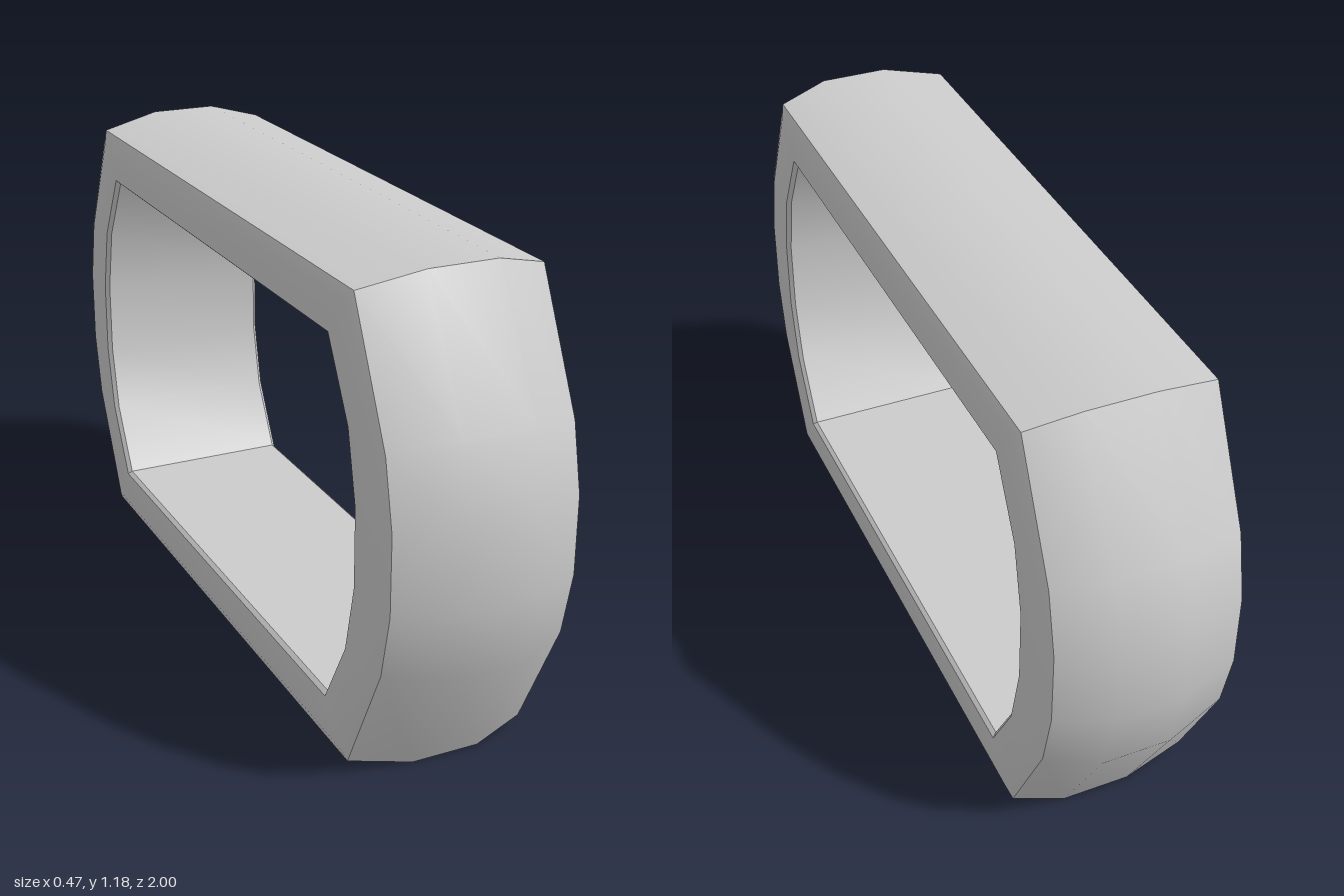
import * as THREE from 'three';
import { toCreasedNormals } from 'three/addons/utils/BufferGeometryUtils.js';

const MID_Y = 0.595;

// Upper front quarter of each loop as [z, y]: corner, then the two arc points
const LOOPS = [
  [[0.785, 1.187], [0.96, 0.87], [1.0, 0.69]],    // outer crown
  [[0.76, 1.155], [0.91, 0.85], [0.945, 0.69]],   // shoulder
  [[0.655, 1.028], [0.75, 0.86], [0.788, 0.69]],  // opening
];

// Band cross-section as [x, k]: k = 0 crown, 1 shoulder, 2 opening
const SECTION = [
  [-0.07, 0], [0.1, 0], [0.225, 1], [0.235, 1.2], [0.235, 1.93], [0.225, 2],
  [-0.225, 2], [-0.235, 1.93], [-0.235, 1.2], [-0.225, 1],
];

// Mirror a quarter into a full loop: front end downwards, back end upwards
function fullLoop(quarter) {
  const lower = quarter.map(([z, y]) => [z, 2 * MID_Y - y]).reverse();
  const front = [...quarter, ...lower];
  return [...front, ...front.map(([z, y]) => [-z, y]).reverse()];
}

function bandGeometry() {
  const loops = LOOPS.map(fullLoop);
  const stations = loops[0].length;
  const sides = SECTION.length;
  const positions = [];
  const indices = [];
  for (let i = 0; i < stations; i++) {
    for (const [x, k] of SECTION) {
      const n = Math.min(Math.floor(k), 1);
      const [z0, y0] = loops[n][i];
      const [z1, y1] = loops[n + 1][i];
      const t = k - n;
      positions.push(x, y0 + (y1 - y0) * t, z0 + (z1 - z0) * t);
    }
    for (let j = 0; j < sides; j++) {
      const next = ((i + 1) % stations) * sides;
      const a = i * sides + j;
      const b = next + j;
      const c = next + ((j + 1) % sides);
      const d = i * sides + ((j + 1) % sides);
      indices.push(a, b, c, a, c, d);
    }
  }
  const geometry = new THREE.BufferGeometry();
  geometry.setAttribute('position', new THREE.Float32BufferAttribute(positions, 3));
  geometry.setIndex(indices);
  return toCreasedNormals(geometry, 0.65);
}

export function createModel() {
  const group = new THREE.Group();
  group.name = 'chainLink';
  // Closed link: two straight bars joined by faceted curved ends
  const link = new THREE.Mesh(bandGeometry(), new THREE.MeshStandardMaterial({ color: 0xcccccc }));
  link.name = 'linkBand';
  group.add(link);
  return group;
}
